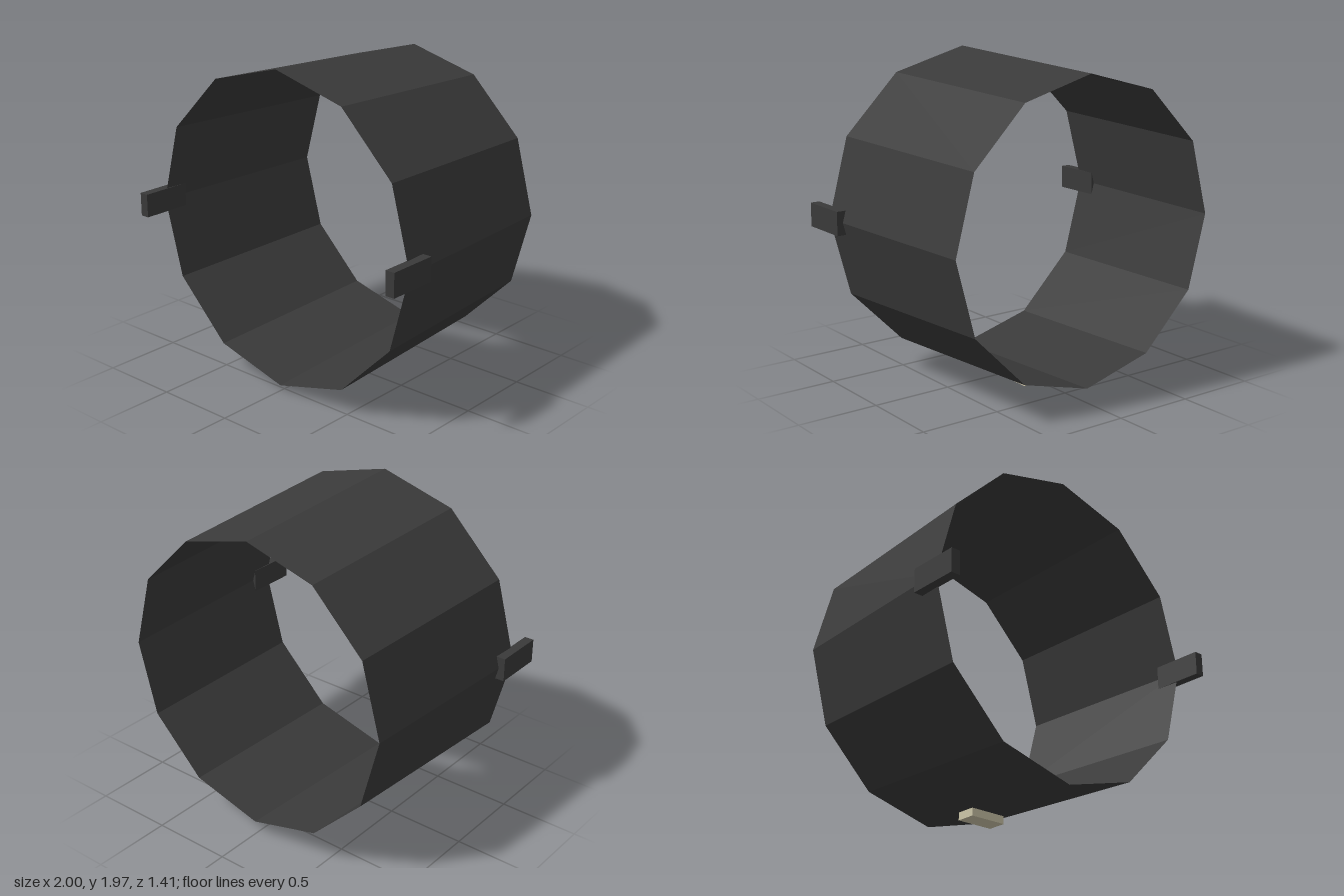
import * as THREE from 'three';

const charcoal = new THREE.MeshStandardMaterial({ color: 0x3a3a3a, flatShading: true, side: THREE.DoubleSide });
charcoal.name = 'charcoal';
const cream = new THREE.MeshStandardMaterial({ color: 0xcdc6a9, flatShading: true });
cream.name = 'cream';

function box(name, material, size, position) {
  const mesh = new THREE.Mesh(new THREE.BoxGeometry(...size), material);
  mesh.name = name;
  mesh.position.set(...position);
  return mesh;
}

export function createModel() {
  const model = new THREE.Group();
  model.name = 'taperedRing';

  // Open twelve-sided sleeve, wider at the front
  const front = 0.535, back = -0.705;
  const sleeve = new THREE.CylinderGeometry(0.968, 0.914, front - back, 12, 1, true);
  sleeve.rotateX(Math.PI / 2);
  const shell = new THREE.Mesh(sleeve, charcoal);
  shell.name = 'shell';
  shell.position.set(0, 1.003, (front + back) / 2);
  model.add(shell);

  // Side lugs reaching forward past the rim
  for (const [name, side] of [['leftLug', 1], ['rightLug', -1]]) {
    model.add(box(name, charcoal, [0.058, 0.146, 0.315], [side * 0.971, 1.003, 0.5475]));
  }

  // Small pad underneath
  model.add(box('bottomPad', cream, [0.242, 0.048, 0.122], [0, 0.024, -0.206]));

  return model;
}
